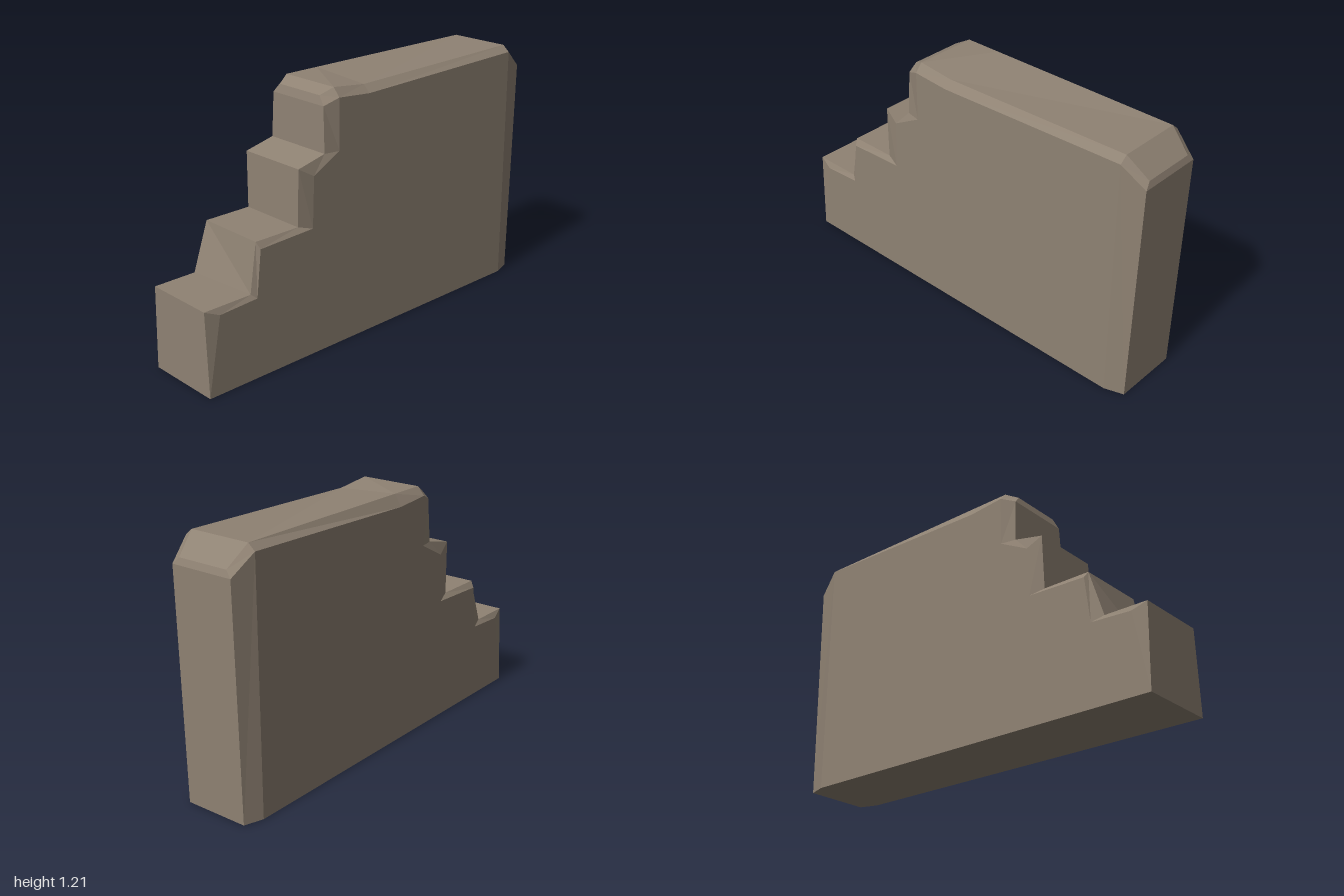
import * as THREE from 'three';

const HALF = 0.19; // half thickness of the slab

// Outline: [face x, face y, rim x, rim y, rim half depth, back rim dx, back rim dy]
const OUTLINE = [
  // bottom left and first step
  [-1, 0, -1, 0, 0.19],
  [-0.93, 0.37, -1, 0.4, 0.175],
  [-0.73, 0.38, -0.755, 0.4, 0.175, -0.035, 0],
  // second step
  [-0.705, 0.6, -0.715, 0.63, 0.17],
  [-0.41, 0.61, -0.48, 0.63, 0.17],
  // third step
  [-0.4, 0.85, -0.475, 0.895, 0.175],
  [-0.25, 0.93, -0.325, 0.93, 0.175],
  // top with worn corners
  [-0.25, 1.17, -0.32, 1.14, 0.165],
  [-0.25, 1.17, -0.31, 1.18, 0.13],
  [-0.25, 1.17, -0.25, 1.21, 0.155],
  [-0.07, 1.155, -0.07, 1.19, 0.155, 0, 0.02],
  [0.89, 1.18, 0.89, 1.21, 0.155],
  [0.89, 1.18, 0.99, 1.12, 0.13],
  // right end
  [0.89, 1.18, 1, 1.09, 0.16],
  [0.89, 0, 0.98, 0, 0.16],
];

function wallGeometry() {
  const positions = [];
  const tri = (a, b, c) => positions.push(...a, ...b, ...c);
  const quad = (a, b, c, d) => { tri(a, b, c); tri(a, c, d); };
  const face = (p, s) => [p[0], p[1], s * HALF];
  const rim = (p, s) => s > 0
    ? [p[2], p[3], p[4]]
    : [p[2] + (p[5] ?? 0), p[3] + (p[6] ?? 0), -p[4]];

  // bevels on both sides and the band across the thickness
  OUTLINE.forEach((p, i) => {
    const q = OUTLINE[(i + 1) % OUTLINE.length];
    quad(face(p, 1), face(q, 1), rim(q, 1), rim(p, 1));
    quad(face(p, -1), rim(p, -1), rim(q, -1), face(q, -1));
    quad(rim(p, 1), rim(q, 1), rim(q, -1), rim(p, -1));
  });

  // large flat faces, front and back
  const loop = OUTLINE.filter((p, i) => {
    const prev = OUTLINE[(i + OUTLINE.length - 1) % OUTLINE.length];
    return p[0] !== prev[0] || p[1] !== prev[1];
  });
  const contour = loop.map((p) => new THREE.Vector2(p[0], p[1]));
  for (const t of THREE.ShapeUtils.triangulateShape(contour, [])) {
    const ccw = THREE.ShapeUtils.area(t.map((k) => contour[k])) > 0;
    const [a, b, c] = (ccw ? t : [t[0], t[2], t[1]]).map((k) => loop[k]);
    tri(face(a, 1), face(b, 1), face(c, 1));
    tri(face(a, -1), face(c, -1), face(b, -1));
  }

  const geometry = new THREE.BufferGeometry();
  geometry.setAttribute('position', new THREE.Float32BufferAttribute(positions, 3));
  geometry.computeVertexNormals();
  return geometry;
}

export function createModel() {
  const stone = new THREE.MeshStandardMaterial({ color: 0x8f8273 });
  stone.name = 'stone';
  const wall = new THREE.Mesh(wallGeometry(), stone);
  wall.name = 'steppedWall';
  const group = new THREE.Group();
  group.name = 'brokenStoneWall';
  group.add(wall);
  return group;
}
